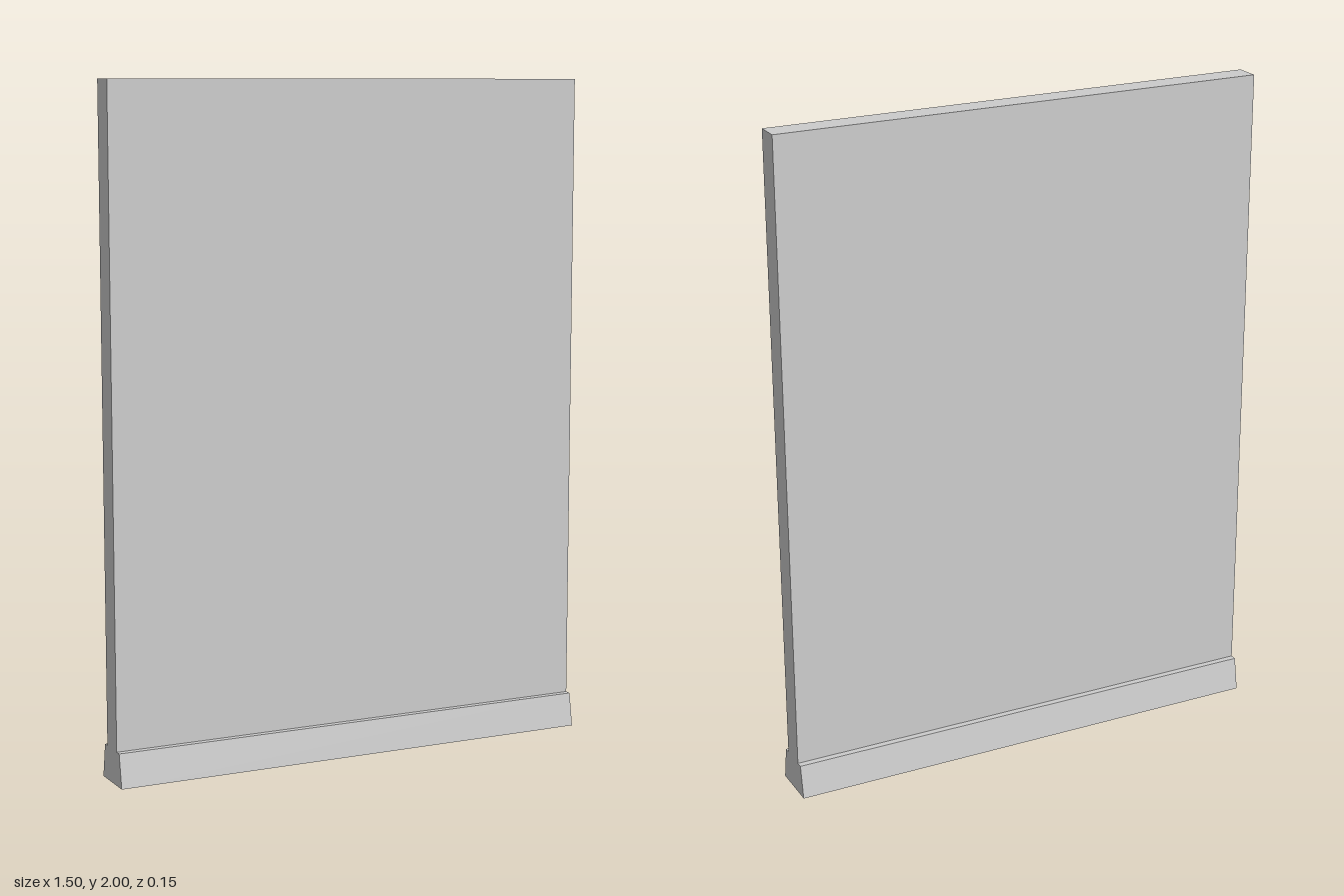
import * as THREE from 'three';

const WIDTH = 1.5;
const HEIGHT = 2;
const BASE_HEIGHT = 0.1;

export function createModel() {
  const group = new THREE.Group();
  group.name = 'wallPanel';
  const material = new THREE.MeshStandardMaterial({ color: 0xcccccc, flatShading: true });

  // Extrude a symmetric trapezoid section along the width
  const addPart = (name, bottomHalf, topHalf, y0, y1) => {
    const section = new THREE.Shape([
      new THREE.Vector2(-bottomHalf, y0),
      new THREE.Vector2(bottomHalf, y0),
      new THREE.Vector2(topHalf, y1),
      new THREE.Vector2(-topHalf, y1),
    ]);
    const geometry = new THREE.ExtrudeGeometry(section, { depth: WIDTH, bevelEnabled: false });
    geometry.translate(0, 0, -WIDTH / 2).rotateY(Math.PI / 2);
    const mesh = new THREE.Mesh(geometry, material);
    mesh.name = name;
    group.add(mesh);
  };

  // Tapered foot and the thin upright slab standing on it
  addPart('base', 0.074, 0.057, 0, BASE_HEIGHT);
  addPart('panel', 0.0375, 0.0375, BASE_HEIGHT, HEIGHT);

  return group;
}
